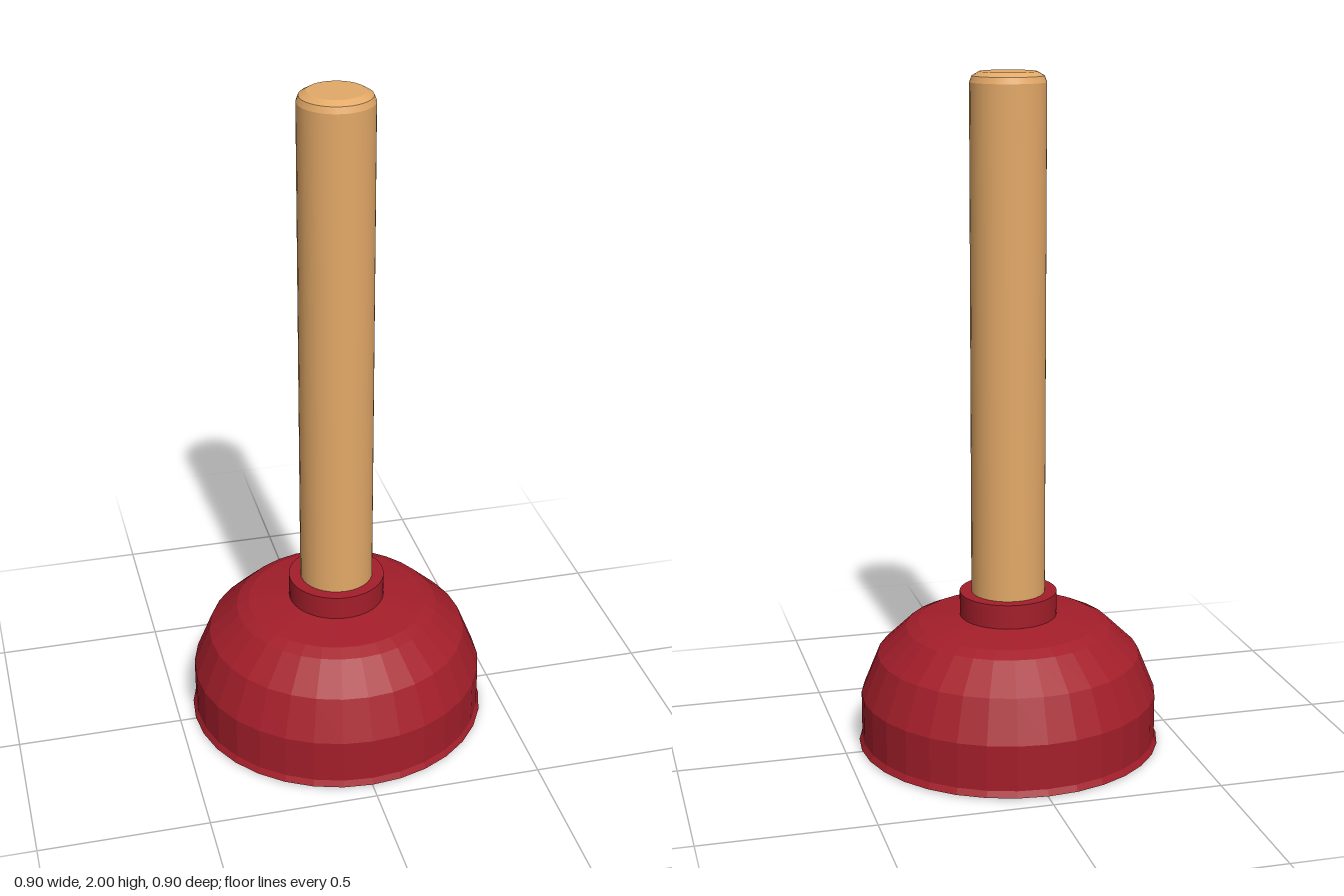
import * as THREE from 'three';

const rubber = new THREE.MeshStandardMaterial({ color: 0xa31e2a });
rubber.name = 'red rubber';
const wood = new THREE.MeshStandardMaterial({ color: 0xe3a968 });
wood.name = 'light wood';

function lathe(points, sides) {
  return new THREE.LatheGeometry(points.map(([r, y]) => new THREE.Vector2(r, y)), sides);
}

export function createModel() {
  const model = new THREE.Group();
  model.name = 'plunger';
  const add = (name, geometry, material, y = 0) => {
    const mesh = new THREE.Mesh(geometry, material);
    mesh.name = name;
    mesh.position.y = y;
    model.add(mesh);
  };

  // Hollow faceted cup: ceiling, conical inner wall, rim, then up the outside
  const cup = lathe([
    [0, 0.333], [0.25, 0.333], [0.36, 0],
    [0.452, 0.004], [0.443, 0.022], [0.443, 0.157], [0.393, 0.28],
    [0.307, 0.362], [0.27, 0.379], [0.13, 0.4], [0, 0.4],
  ], 32).toNonIndexed();
  cup.computeVertexNormals();
  add('cup', cup, rubber);

  // Collar gripping the handle
  add('collar', new THREE.CylinderGeometry(0.145, 0.145, 0.1, 48), rubber, 0.42);

  // Smooth shaft
  add('handle', new THREE.CylinderGeometry(0.11, 0.11, 1.57, 32, 1, true), wood, 1.185);

  // Two-step bevel and flat top of the handle
  add('handleLowerBevel', lathe([[0.11, 1.97], [0.103, 1.988]], 32), wood);
  add('handleUpperBevel', lathe([[0.103, 1.988], [0.082, 2]], 32), wood);
  const top = new THREE.CircleGeometry(0.082, 32);
  top.rotateX(-Math.PI / 2);
  add('handleTop', top, wood, 2);

  return model;
}
